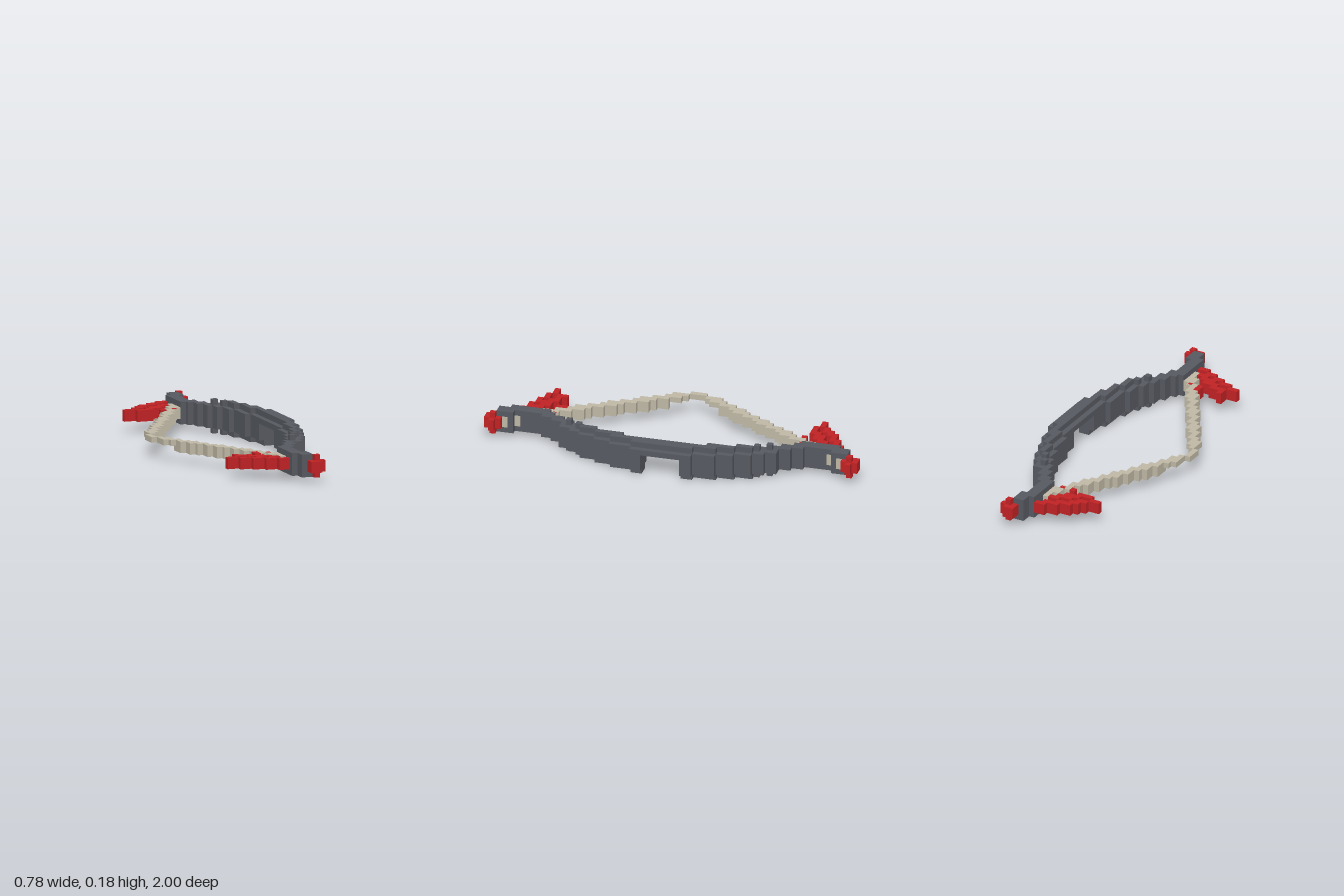
import * as THREE from 'three';
import { mergeGeometries } from 'three/addons/utils/BufferGeometryUtils.js';

const V = 2 / 67; // edge of one cube

const mat = (name, color) => {
  const m = new THREE.MeshStandardMaterial({ color });
  m.name = name;
  return m;
};

// Block spanning cells x0..x1, y0..y1, z0..z1 (inclusive; z cells run -33..33)
function block(x0, x1, y0, y1, z0, z1) {
  const g = new THREE.BoxGeometry((x1 - x0 + 1) * V, (y1 - y0 + 1) * V, (z1 - z0 + 1) * V);
  g.translate(((x0 + x1 + 1) / 2 - 13) * V, ((y0 + y1 + 1) / 2) * V, ((z0 + z1) / 2) * V);
  return g;
}

export function createModel() {
  const group = new THREE.Group();
  const dark = mat('dark grey', 0x565960);
  const red = mat('red', 0xc02224);
  const cream = mat('cream', 0xbfb8a5);

  const add = (name, material, blocks) => {
    const mesh = new THREE.Mesh(mergeGeometries(blocks), material);
    mesh.name = name;
    group.add(mesh);
  };

  // Grip: a bridge over the arrow window
  add('grip', dark, [
    block(22, 25, 4, 4, -3, 3),
    block(23, 24, 5, 5, -3, 3),
  ]);

  // Limb steps from grip to tip: [first z, last z, first x, last x, has tall core]
  const limbSteps = [
    [4, 5, 22, 25, 1], [6, 7, 22, 24, 1], [8, 9, 21, 24, 1], [10, 12, 21, 23, 1],
    [13, 15, 20, 22, 1], [16, 16, 19, 21, 1], [17, 17, 19, 21, 0], [18, 18, 18, 20, 1],
    [19, 19, 18, 20, 0], [20, 21, 17, 18, 0], [22, 22, 16, 17, 0], [23, 23, 15, 17, 0],
    [24, 28, 15, 16, 0], [29, 29, 15, 17, 0], [30, 31, 16, 17, 0],
  ];

  // Tassel strands: [z, first x, last x]
  const tasselInner = [[22, 11, 11], [22, 13, 13], [23, 7, 9], [24, 9, 11], [25, 10, 12], [26, 12, 13]];
  const tasselFront = [[21, 11, 11], [22, 7, 7], [24, 5, 6], [25, 7, 8], [26, 9, 10], [27, 11, 12], [28, 13, 14]];
  const tasselBack = [[24, 5, 6], [25, 7, 8], [26, 8, 9], [27, 9, 11], [28, 11, 13], [29, 13, 14]];

  for (const s of [1, -1]) {
    const side = s > 0 ? 'front' : 'back';
    const cell = (x0, x1, y0, y1, z0, z1) =>
      block(x0, x1, y0, y1, Math.min(s * z0, s * z1), Math.max(s * z0, s * z1));

    const limb = [];
    for (const [z0, z1, x0, x1, tall] of limbSteps) {
      limb.push(cell(x0, x1, 1, 4, z0, z1));
      if (tall) limb.push(cell(x0 + 1, x1 - 1, 0, 5, z0, z1));
    }
    add(side + 'Limb', dark, limb);

    // Red cross-shaped cap at the limb end
    add(side + 'Tip', red, [
      cell(17, 18, 2, 3, 33, 33), cell(17, 19, 2, 3, 32, 32),
      cell(18, 18, 1, 4, 32, 32), cell(18, 18, 2, 3, 31, 31),
    ]);

    // String binding showing on the outer face of the limb
    add(side + 'Binding', cream, [[16, 28], [17, 30]].map(([x, z]) => {
      const g = new THREE.BoxGeometry(0.006, 2 * V, V);
      return g.translate((x - 12) * V, 3 * V, s * z * V);
    }));

    // Drawn string, stepping from the nock to the limb
    const string = [cell(14, 14, 2, 3, 23, 26)];
    for (let x = 0; x < 14; x++) {
      const z0 = x ? Math.round(x * 1.66 + 0.1) : 0;
      const z1 = x ? z0 + 2 : 1;
      string.push(cell(x, x, x < 3 ? 3 : 2, 3, z0, Math.min(z1, 25)));
    }
    add(side + 'String', cream, string);

    const tassel = [...tasselInner, ...(s > 0 ? tasselFront : tasselBack)];
    add(side + 'Tassel', red, tassel.map(([z, x0, x1]) => cell(x0, x1, 2, 3, z, z)));
  }
  return group;
}
